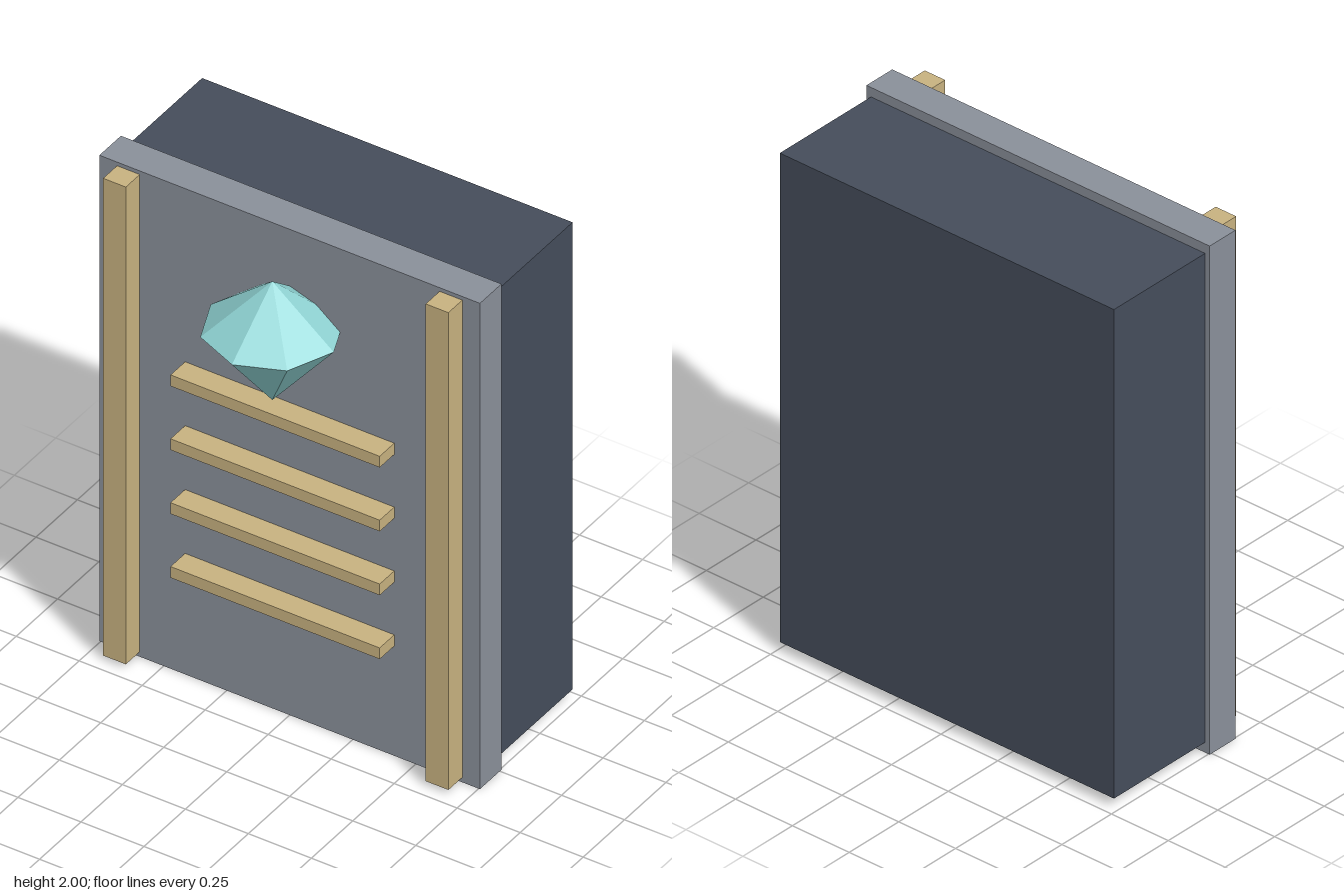
import * as THREE from 'three';

const material = (name, color) => {
  const m = new THREE.MeshStandardMaterial({ color });
  m.name = name;
  return m;
};

export function createModel() {
  const group = new THREE.Group();
  const darkSlate = material('darkSlate', 0x454d5b);
  const greyStone = material('greyStone', 0x8a909a);
  const paleGold = material('paleGold', 0xc8b280);
  const aqua = material('aqua', 0x8fd3d3);

  const add = (name, geometry, mat, x, y, z) => {
    const mesh = new THREE.Mesh(geometry, mat);
    mesh.name = name;
    mesh.position.set(x, y, z);
    group.add(mesh);
    return mesh;
  };
  // Box given by its limits on each axis
  const box = (name, mat, [x0, x1], [y0, y1], [z0, z1]) =>
    add(name, new THREE.BoxGeometry(x1 - x0, y1 - y0, z1 - z0), mat,
      (x0 + x1) / 2, (y0 + y1) / 2, (z0 + z1) / 2);

  // Deep body behind the front slab
  box('body', darkSlate, [-0.735, 0.735], [0.04, 1.963], [-0.47, -0.01]);
  box('frontSlab', greyStone, [-0.755, 0.755], [0, 2], [-0.01, 0.12]);

  // Upright rails on both sides
  box('leftRail', paleGold, [0.595, 0.685], [0.02, 1.985], [0.12, 0.204]);
  box('rightRail', paleGold, [-0.685, -0.595], [0.02, 1.985], [0.12, 0.204]);

  // Four horizontal bars
  for (let i = 0; i < 4; i++) {
    const y = 1.264 - i * 0.263;
    box(`bar${i + 1}`, paleGold, [-0.415, 0.415], [y - 0.023, y + 0.023], [0.12, 0.208]);
  }

  // Eight-sided gem: shallow crown over a longer point
  const radius = 0.244, girdle = 1.657, top = 1.85, bottom = 1.362;
  const gem = new THREE.CylinderGeometry(0, radius, top - girdle, 8, 1, true).toNonIndexed();
  gem.computeVertexNormals();
  add('gemCrown', gem, aqua, 0, (top + girdle) / 2, 0.225);
  const point = new THREE.CylinderGeometry(radius, 0, girdle - bottom, 8, 1, true).toNonIndexed();
  point.computeVertexNormals();
  add('gemPoint', point, aqua, 0, (girdle + bottom) / 2, 0.225);

  return group;
}
